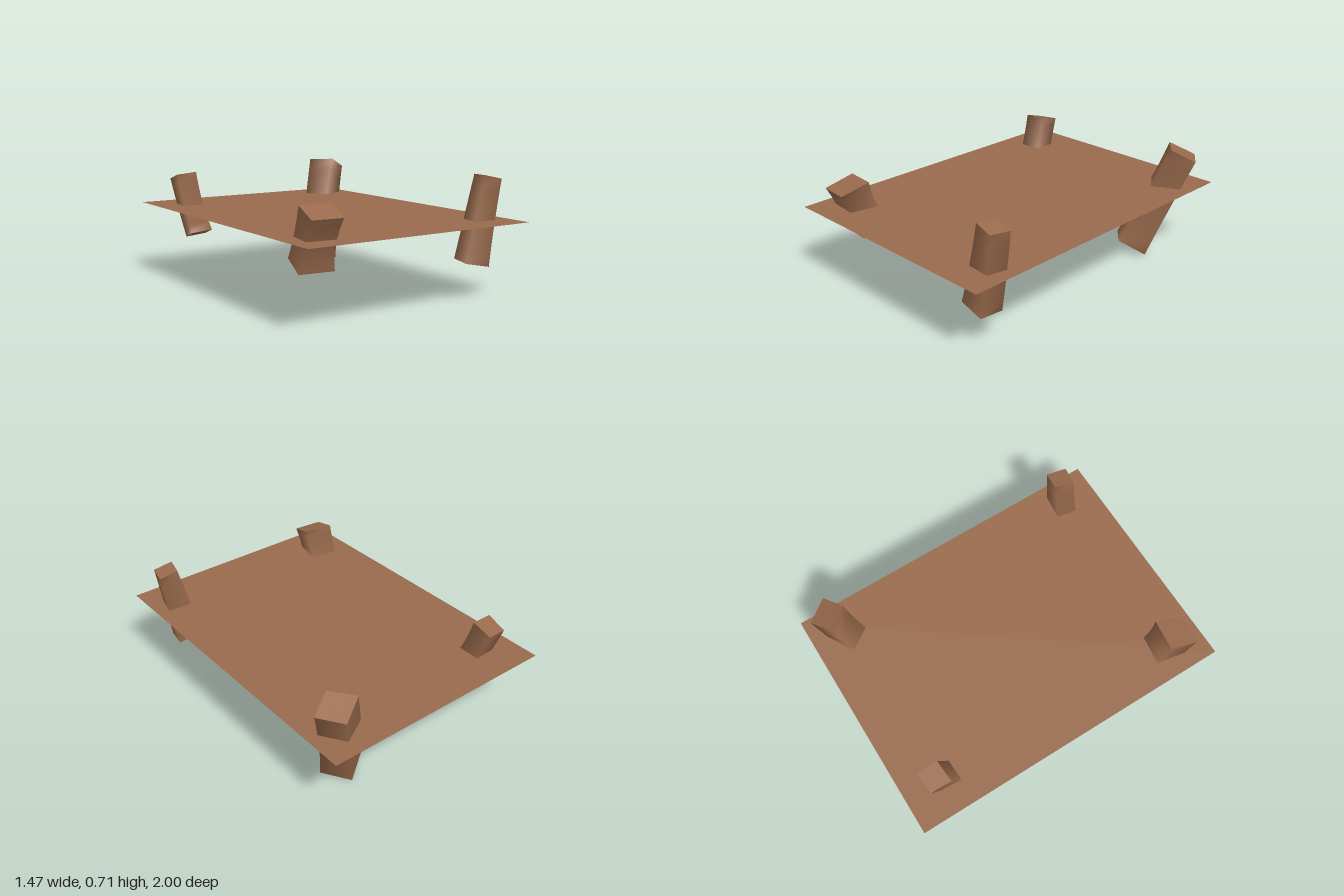
import * as THREE from 'three';

const wood = new THREE.MeshStandardMaterial({ color: 0x9a6b4d, side: THREE.DoubleSide });
wood.name = 'brown wood';

// Four-sided post swept from a bottom to a top quad (corners counterclockwise
// from above); bow moves the middle of each corner edge sideways.
function postGeometry(bottom, top, bow, steps = 8) {
  const pos = [], index = [];
  for (let s = 0; s <= steps; s++) {
    const t = s / steps, k = 4 * t * (1 - t);
    for (let c = 0; c < 4; c++) {
      const p = new THREE.Vector3(...bottom[c]).lerp(new THREE.Vector3(...top[c]), t);
      pos.push(p.x + k * bow[c][0], p.y, p.z + k * bow[c][1]);
    }
  }
  for (let s = 0; s < steps; s++) {
    for (let c = 0; c < 4; c++) {
      const a = s * 4 + c, b = s * 4 + (c + 1) % 4;
      index.push(a, b, b + 4, a, b + 4, a + 4);
    }
  }
  // flat end caps with their own vertices
  const n = (steps + 1) * 4;
  pos.push(...bottom.flat(), ...top.flat());
  index.push(n, n + 2, n + 1, n, n + 3, n + 2, n + 4, n + 5, n + 6, n + 4, n + 6, n + 7);
  const g = new THREE.BufferGeometry();
  g.setAttribute('position', new THREE.Float32BufferAttribute(pos, 3));
  g.setIndex(index);
  g.computeVertexNormals();
  return g;
}

const posts = [
  {
    name: 'backRightPost',
    bottom: [[-0.575, 0.29, -0.6], [-0.43, 0.3, -0.61], [-0.416, 0.26, -0.73], [-0.557, 0.25, -0.72]],
    top: [[-0.604, 0.65, -0.735], [-0.467, 0.66, -0.745], [-0.468, 0.625, -0.873], [-0.595, 0.615, -0.862]],
    bow: [[0, -0.01], [-0.008, -0.01], [-0.008, -0.005], [0, -0.005]],
  },
  {
    name: 'frontRightPost',
    bottom: [[-0.65, 0.28, 0.78], [-0.445, 0.28, 0.8], [-0.41, 0.335, 0.635], [-0.61, 0.335, 0.615]],
    top: [[-0.65, 0.57, 0.9], [-0.47, 0.57, 0.917], [-0.43, 0.625, 0.75], [-0.618, 0.622, 0.73]],
    bow: [[0.006, -0.01], [-0.015, -0.01], [-0.018, 0.01], [0.004, 0.005]],
  },
  {
    name: 'frontLeftPost',
    bottom: [[0.43, 0.222, 0.825], [0.59, 0.19, 0.84], [0.615, 0.198, 0.71], [0.457, 0.23, 0.695]],
    top: [[0.553, 0.715, 0.825], [0.667, 0.69, 0.843], [0.694, 0.686, 0.725], [0.58, 0.712, 0.712]],
    bow: [[0.003, -0.004], [0.003, -0.008], [0.004, 0], [0, 0]],
  },
  {
    name: 'backLeftPost',
    bottom: [[0.275, 0.08, -0.67], [0.388, 0.09, -0.54], [0.537, 0.015, -0.62], [0.427, 0, -0.765]],
    top: [[0.49, 0.69, -0.873], [0.595, 0.695, -0.745], [0.725, 0.633, -0.815], [0.627, 0.627, -0.95]],
    bow: [[0.009, -0.017], [-0.008, -0.02], [-0.006, -0.008], [0.004, -0.005]],
  },
];

export function createModel() {
  const model = new THREE.Group();
  model.name = 'slabWithPosts';

  // paper-thin horizontal top crossed by the posts
  const slab = new THREE.Mesh(new THREE.PlaneGeometry(1.47, 2).rotateX(-Math.PI / 2), wood);
  slab.name = 'slab';
  slab.position.y = 0.455;
  model.add(slab);

  // four leaning, slightly bent posts
  for (const { name, bottom, top, bow } of posts) {
    const post = new THREE.Mesh(postGeometry(bottom, top, bow), wood);
    post.name = name;
    model.add(post);
  }
  return model;
}
